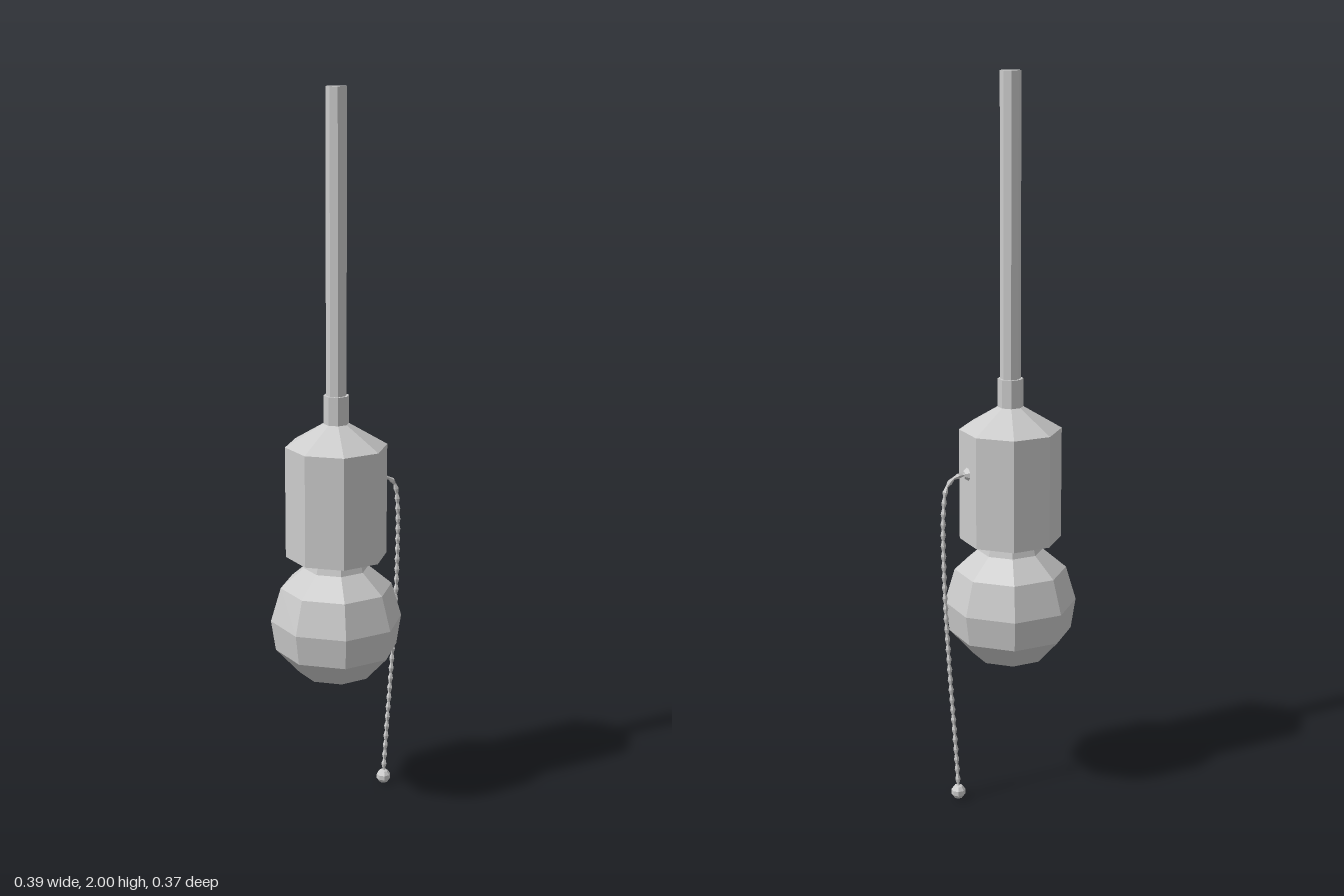
import * as THREE from 'three';

const SIDES = 8;
const CENTRE_X = -0.01;
const material = new THREE.MeshStandardMaterial({ color: 0xcccccc, flatShading: true, side: THREE.DoubleSide });

function add(parent, name, geometry) {
  const mesh = new THREE.Mesh(geometry, material);
  mesh.name = name;
  parent.add(mesh);
  return mesh;
}

// Eight-sided turned part; the profile runs from bottom to top as [radius, y]
function turned(profile) {
  return new THREE.LatheGeometry(profile.map(([r, y]) => new THREE.Vector2(r, y)), SIDES);
}

// Tube whose rings alternate between thick and thin, like a beaded chain
function beadedTube(curve, rings, thick, thin) {
  const radial = 5;
  const geometry = new THREE.TubeGeometry(curve, rings, thick, radial, false);
  const position = geometry.attributes.position;
  const vertex = new THREE.Vector3();
  for (let i = 0; i <= rings; i += 1) {
    if (i % 2 === 0) continue;
    const centre = curve.getPointAt(i / rings);
    for (let j = 0; j <= radial; j += 1) {
      const k = i * (radial + 1) + j;
      vertex.fromBufferAttribute(position, k).sub(centre).multiplyScalar(thin / thick).add(centre);
      position.setXYZ(k, vertex.x, vertex.y, vertex.z);
    }
  }
  geometry.computeVertexNormals();
  return geometry;
}

export function createModel() {
  const model = new THREE.Group();
  model.name = 'hangingBulbLamp';

  const lamp = new THREE.Group();
  lamp.name = 'lamp';
  lamp.position.x = CENTRE_X;
  model.add(lamp);

  // Hanging rod and the collar that grips it
  add(lamp, 'rod', turned([[0.028, 1.12], [0.028, 2], [0, 2]]));
  add(lamp, 'collar', turned([[0.035, 1.1], [0.035, 1.19], [0.027, 1.19]]));

  // Socket with a sloping shoulder
  add(lamp, 'socket', turned([[0, 0.74], [0.14, 0.74], [0.14, 1.05], [0.035, 1.112], [0, 1.112]]));

  // Bulb with a narrow neck and a flat underside
  add(lamp, 'bulb', turned([
    [0, 0.398], [0.103, 0.398], [0.17, 0.47], [0.183, 0.555],
    [0.155, 0.65], [0.09, 0.705], [0.078, 0.75],
  ]));

  // Chain outlet, standing square on one face of the socket
  const outward = new THREE.Vector3(Math.cos(Math.PI / 8), 0, Math.sin(Math.PI / 8));
  const outlet = add(model, 'chainOutlet', new THREE.CylinderGeometry(0.01, 0.02, 0.014, SIDES));
  outlet.quaternion.setFromUnitVectors(new THREE.Vector3(0, 1, 0), outward);
  outlet.position.set(CENTRE_X, 0.937, 0).addScaledVector(outward, 0.134);

  // Pull chain, bending out of the socket and hanging down
  const path = new THREE.CatmullRomCurve3([
    [0.11, 0.937, 0.05], [0.15, 0.934, 0.06], [0.173, 0.912, 0.067], [0.183, 0.86, 0.07],
    [0.186, 0.65, 0.068], [0.177, 0.39, 0.06], [0.167, 0.17, 0.05], [0.163, 0.03, 0.043],
  ].map((p) => new THREE.Vector3(...p)));
  add(model, 'pullChain', beadedTube(path, 64, 0.008, 0.004));

  // Knob at the end of the chain
  const knob = add(model, 'chainKnob', new THREE.SphereGeometry(0.021, SIDES, 5));
  knob.position.set(0.163, 0.021, 0.043);

  return model;
}
